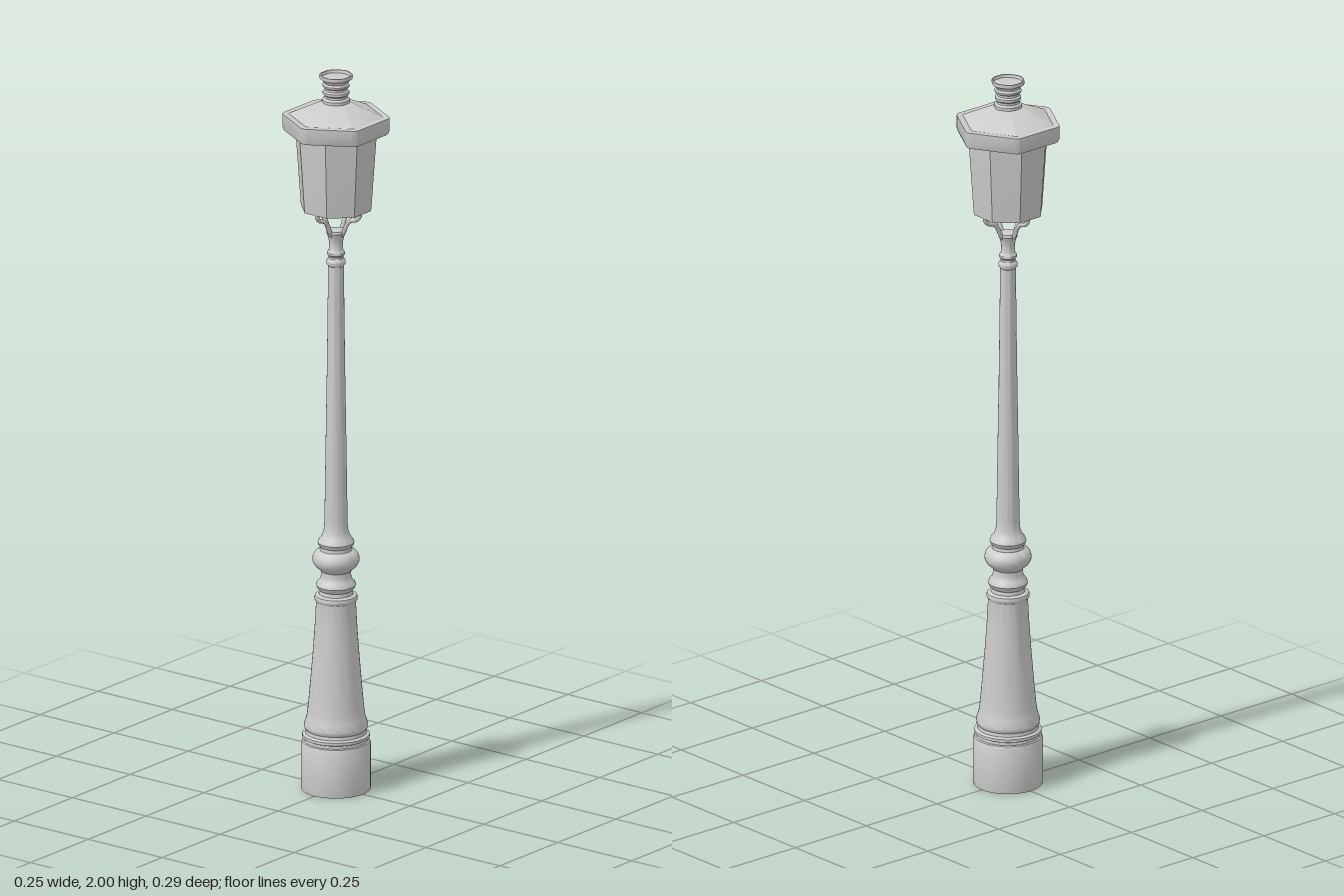
import * as THREE from 'three';
import { toCreasedNormals } from 'three/addons/utils/BufferGeometryUtils.js';

const material = new THREE.MeshStandardMaterial({ color: 0xcccccc });

function part(name, geometry) {
  const mesh = new THREE.Mesh(geometry, material);
  mesh.name = name;
  return mesh;
}

// Round turned part from [radius, height] points, bottom to top
function turned(name, profile, segments = 40) {
  const points = profile.map(([r, y]) => new THREE.Vector2(r, y));
  return part(name, toCreasedNormals(new THREE.LatheGeometry(points, segments), 0.6));
}

// Many-sided part: profile gives [apothem, height]; rounding is the corner radius as a share of the apothem
function faceted(name, profile, sides, rounding, crease) {
  const steps = rounding > 0 ? 5 : 1;
  const count = sides * steps;
  const positions = [], index = [];
  for (const [r, y] of profile) {
    for (let i = 0; i < sides; i++) {
      const corner = ((2 * i + 1) * Math.PI) / sides;
      const centre = (r * (1 - rounding)) / Math.cos(Math.PI / sides);
      for (let j = 0; j < steps; j++) {
        const t = steps > 1 ? j / (steps - 1) - 0.5 : 0;
        const a = corner + (t * 2 * Math.PI) / sides;
        positions.push(
          centre * Math.cos(corner) + r * rounding * Math.cos(a), y,
          centre * Math.sin(corner) + r * rounding * Math.sin(a));
      }
    }
  }
  for (let k = 0; k < profile.length - 1; k++) {
    for (let i = 0; i < count; i++) {
      const a = k * count + i, b = k * count + ((i + 1) % count);
      index.push(a, a + count, b, b, a + count, b + count);
    }
  }
  const geometry = new THREE.BufferGeometry();
  geometry.setAttribute('position', new THREE.Float32BufferAttribute(positions, 3));
  geometry.setIndex(index);
  return part(name, toCreasedNormals(geometry, crease));
}

export function createModel() {
  const model = new THREE.Group();
  model.name = 'streetLamp';

  // Drum at the ground with its stepped ring
  model.add(turned('base', [
    [0, 0], [0.092, 0], [0.093, 0.006], [0.093, 0.128], [0.09, 0.134],
    [0.086, 0.136], [0.086, 0.144], [0.09, 0.146], [0.09, 0.154],
    [0.082, 0.158], [0.08, 0.168], [0, 0.168],
  ]));

  // Flared lower column
  model.add(turned('lowerColumn', [
    [0.078, 0.164], [0.084, 0.172], [0.085, 0.18], [0.083, 0.19], [0.079, 0.2], [0.076, 0.22],
    [0.072, 0.26], [0.067, 0.32], [0.062, 0.38], [0.057, 0.45], [0.053, 0.525],
    [0.057, 0.53], [0.058, 0.536], [0.056, 0.542], [0.046, 0.546],
  ]));

  // Stacked mouldings around the bulge
  model.add(turned('collar', [
    [0.046, 0.544], [0.044, 0.556], [0.05, 0.562], [0.053, 0.57], [0.051, 0.578],
    [0.044, 0.585], [0.04, 0.597], [0.04, 0.61], [0.046, 0.616],
    [0.056, 0.625], [0.062, 0.636], [0.063, 0.645], [0.061, 0.654], [0.054, 0.664],
    [0.043, 0.669], [0.042, 0.678], [0.047, 0.683], [0.049, 0.69], [0.046, 0.698],
    [0.038, 0.708], [0.033, 0.722], [0.031, 0.745],
  ]));

  // Slim shaft and its capital
  model.add(turned('shaft', [
    [0.031, 0.74], [0.028, 0.95], [0.024, 1.2], [0.021, 1.465],
    [0.025, 1.47], [0.026, 1.476], [0.024, 1.482], [0.02, 1.486], [0.02, 1.492],
    [0.024, 1.497], [0.024, 1.503], [0.019, 1.51], [0.018, 1.53],
    [0.021, 1.545], [0.026, 1.558], [0.024, 1.565], [0, 1.568],
  ], 32));

  // Four curved arms that carry the lantern
  const armCurve = new THREE.CatmullRomCurve3([
    [0.014, 1.545], [0.026, 1.563], [0.036, 1.585], [0.05, 1.6],
    [0.068, 1.606], [0.079, 1.616], [0.082, 1.632],
  ].map(([x, y]) => new THREE.Vector3(x, y, 0)));
  const armGeometry = new THREE.TubeGeometry(armCurve, 24, 0.006, 8);
  for (let i = 0; i < 4; i++) {
    const arm = part('arm' + (i + 1), armGeometry);
    arm.rotation.y = (i * Math.PI) / 2;
    model.add(arm);
  }

  // Tapered lantern housing
  const lantern = faceted('lantern', [
    [0.001, 1.626], [0.09, 1.626], [0.091, 1.634], [0.105, 1.845], [0.001, 1.845],
  ], 8, 0, 0.3);
  lantern.scale.z = 0.97;
  model.add(lantern);

  // Hexagonal roof with a flat rim
  model.add(faceted('roofRim', [
    [0.001, 1.84], [0.124, 1.84], [0.127, 1.848], [0.127, 1.885], [0.112, 1.886], [0.108, 1.884],
  ], 6, 0.17, 0.6));
  model.add(faceted('roof', [
    [0.112, 1.885], [0.036, 1.924], [0.001, 1.924],
  ], 6, 0.06, 0.6));

  // Chimney with stacked rings
  model.add(faceted('chimney', [
    [0.036, 1.92], [0.036, 1.932], [0.03, 1.937], [0.03, 1.943], [0.034, 1.947],
    [0.034, 1.954], [0.029, 1.958], [0.029, 1.964], [0.035, 1.968], [0.035, 1.973],
    [0.031, 1.978], [0.034, 1.984], [0.042, 1.99], [0.043, 1.996], [0.042, 2],
    [0.039, 2], [0.037, 1.992], [0.001, 1.992],
  ], 6, 0.7, 0.6));

  return model;
}
